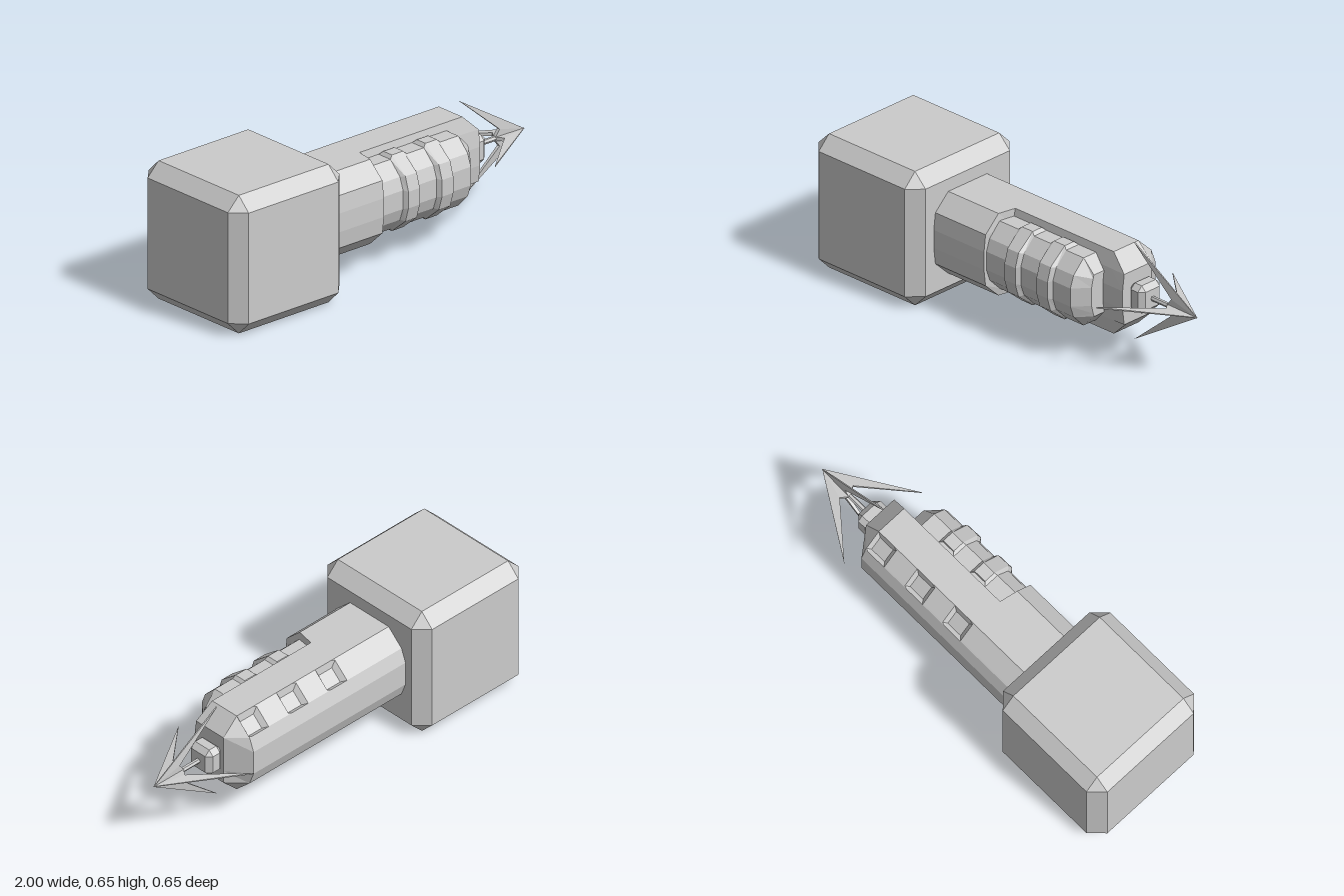
import * as THREE from 'three';
import { ConvexGeometry } from 'three/addons/geometries/ConvexGeometry.js';

const MID = 0.326; // height of the long axis
const material = new THREE.MeshStandardMaterial({ color: 0xcccccc, flatShading: true });

function part(name, geometry, x = 0, y = 0, z = 0) {
  const mesh = new THREE.Mesh(geometry, material);
  mesh.name = name;
  mesh.position.set(x, y, z);
  return mesh;
}

// Box with bevelled edges and corners
function chamferBox(w, h, d, c) {
  const half = [w / 2, h / 2, d / 2];
  const points = [];
  for (let axis = 0; axis < 3; axis++)
    for (const sx of [-1, 1]) for (const sy of [-1, 1]) for (const sz of [-1, 1]) {
      const p = [sx, sy, sz].map((s, i) => s * (half[i] - (i === axis ? 0 : c)));
      points.push(new THREE.Vector3(...p));
    }
  return new ConvexGeometry(points);
}

// Skin over cross-sections {x, pts: [[z, y], ...]}, with both ends closed
function loft(sections) {
  const n = sections[0].pts.length;
  const verts = [];
  const corner = (s, i) => [s.x, s.pts[i % n][1], s.pts[i % n][0]];
  for (let k = 0; k < sections.length - 1; k++) {
    const a = sections[k], b = sections[k + 1];
    for (let i = 0; i < n; i++) {
      verts.push(...corner(a, i), ...corner(a, i + 1), ...corner(b, i + 1));
      verts.push(...corner(a, i), ...corner(b, i + 1), ...corner(b, i));
    }
  }
  for (const [s, flip] of [[sections[0], true], [sections[sections.length - 1], false]]) {
    const mean = (j) => s.pts.reduce((sum, p) => sum + p[j], 0) / n;
    const centre = [s.x, mean(1), mean(0)];
    for (let i = 0; i < n; i++) {
      const p = corner(s, i), q = corner(s, i + 1);
      verts.push(...centre, ...(flip ? q : p), ...(flip ? p : q));
    }
  }
  const geometry = new THREE.BufferGeometry();
  geometry.setAttribute('position', new THREE.Float32BufferAttribute(verts, 3));
  geometry.computeVertexNormals();
  return geometry;
}

// Add the lower half of a profile by mirroring its upper half
const mirrored = (upper) => [...upper, ...upper.map(([z, y]) => [z, 2 * MID - y]).reverse()];

// Body profile: back side, vent strip, top, front side
function bodyProfile({ vent = false, cut = false }) {
  return mirrored([
    [-0.225, 0.385], [-0.2, 0.45],
    ...(vent ? [[-0.178, 0.44], [-0.126, 0.489]] : [[-0.195, 0.455], [-0.125, 0.52]]),
    [-0.12, 0.525],
    ...(cut ? [[0.033, 0.525], [0.05, 0.45], [0.06, 0.37]]
      : [[0.12, 0.525], [0.2, 0.45], [0.21, 0.37]]),
  ]);
}

function bodyGeometry() {
  const plain = bodyProfile({ cut: true }), vented = bodyProfile({ cut: true, vent: true });
  const sections = [
    { x: -0.36, pts: bodyProfile({}) },
    { x: -0.045, pts: bodyProfile({}) },
    { x: -0.028, pts: plain },
  ];
  // Three sunken vents on the upper and lower back bevels
  for (const x of [-0.02, 0.215, 0.455])
    sections.push({ x, pts: plain }, { x: x + 0.02, pts: vented },
      { x: x + 0.1, pts: vented }, { x: x + 0.115, pts: plain });
  // Bevelled nose
  const nose = plain.map(([z, y]) => [Math.max(z, -0.12), THREE.MathUtils.clamp(y, 0.204, 0.448)]);
  sections.push({ x: 0.65, pts: nose });
  return loft(sections);
}

// Thin barb, swept back from the tip and thinner toward its end
function barbGeometry() {
  const outline = [[1, 0], [0.62, 0.235], [0.85, 0.04], [0.82, 0]];
  const shape = new THREE.Shape(outline.map(([x, y]) => new THREE.Vector2(x, y)));
  const geometry = new THREE.ExtrudeGeometry(shape, { depth: 0.018, bevelEnabled: false });
  geometry.translate(0, 0, -0.009);
  const pos = geometry.attributes.position;
  for (let i = 0; i < pos.count; i++) {
    const taper = pos.getX(i) > 0.99 ? 0.2 : 1 - 0.6 * pos.getY(i) / 0.235;
    pos.setZ(i, pos.getZ(i) * taper);
  }
  geometry.computeVertexNormals();
  return geometry;
}

export function createModel() {
  const model = new THREE.Group();
  model.name = 'grappleLauncher';

  model.add(part('baseBlock', chamferBox(0.65, 0.65, 0.65, 0.064), -0.675, 0.325, 0));
  model.add(part('body', bodyGeometry()));

  // Front grip with a bevelled end
  const grip = mirrored([[0.04, 0.49], [0.118, 0.49], [0.18, 0.427], [0.2, 0.37]]);
  const gripEnd = mirrored([[0.04, 0.427], [0.115, 0.427], [0.12, 0.41], [0.13, 0.37]]);
  model.add(part('grip', loft([
    { x: -0.04, pts: grip }, { x: 0.47, pts: grip }, { x: 0.53, pts: gripEnd },
  ])));

  // Raised bands around the grip
  const band = mirrored([[0.056, 0.505], [0.112, 0.505], [0.2, 0.432], [0.22, 0.365]]);
  for (const x of [0.075, 0.27])
    model.add(part('gripBand', loft([
      { x, pts: grip }, { x: x + 0.014, pts: band },
      { x: x + 0.08, pts: band }, { x: x + 0.094, pts: grip },
    ])));

  // Muzzle and shaft
  model.add(part('muzzle', chamferBox(0.09, 0.135, 0.135, 0.024), 0.685, MID + 0.001, -0.045));
  const shaft = new THREE.CylinderGeometry(0.012, 0.012, 0.17, 6);
  shaft.rotateZ(-Math.PI / 2);
  model.add(part('shaft', shaft, 0.785, MID, -0.045));

  // Four-barbed hook
  const hook = new THREE.Group();
  hook.name = 'hook';
  hook.position.set(0, MID, -0.045);
  const barb = barbGeometry();
  for (let i = 0; i < 4; i++) {
    const mesh = part('hookBarb', barb);
    mesh.rotation.x = i * Math.PI / 2;
    hook.add(mesh);
  }
  model.add(hook);
  return model;
}
